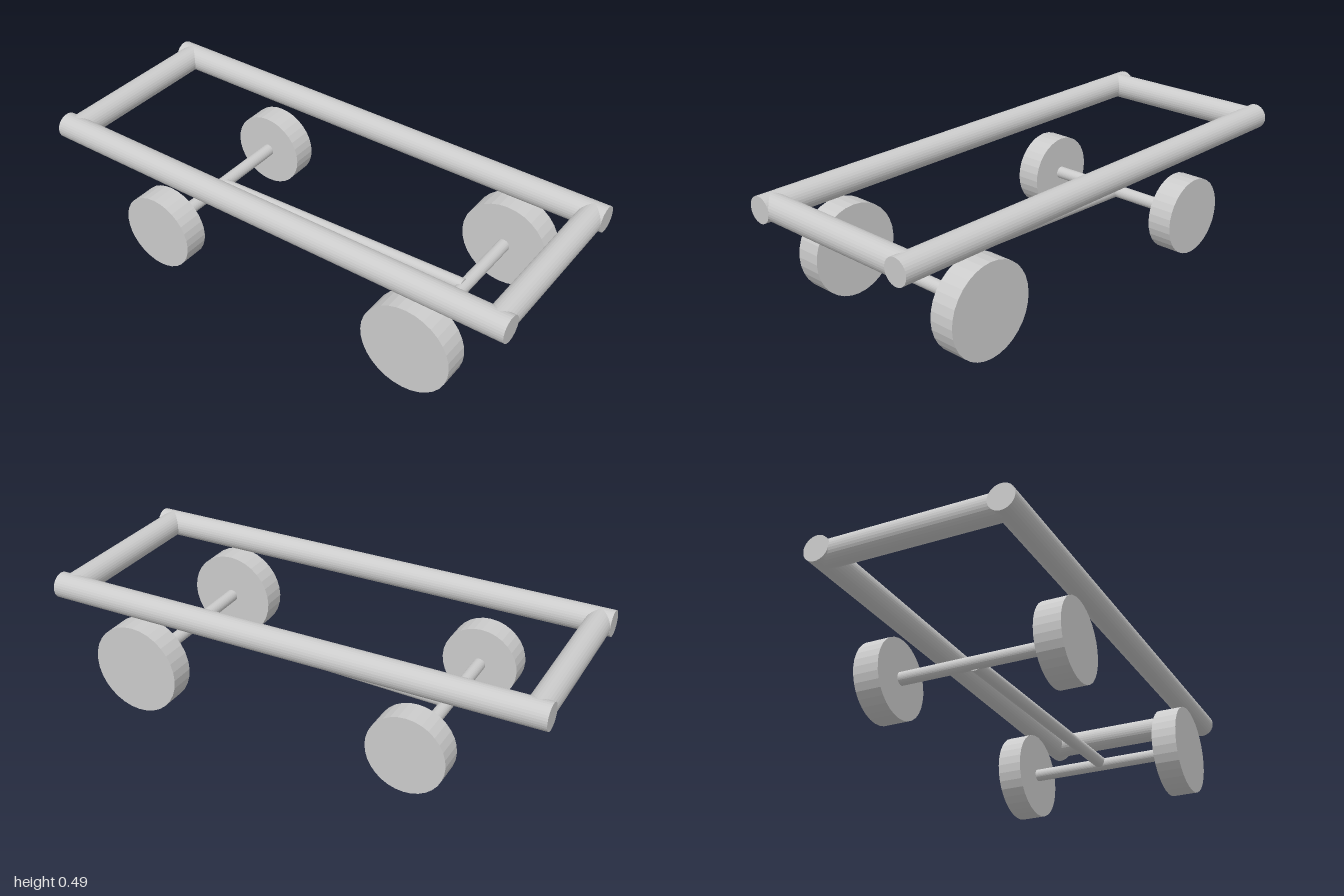
import * as THREE from 'three';

const material = new THREE.MeshStandardMaterial({ color: 0xcccccc, flatShading: true });

// Closed 32-sided rod between two points
function rod(name, from, to, radius) {
  const a = new THREE.Vector3(...from), b = new THREE.Vector3(...to);
  const dir = b.clone().sub(a);
  const mesh = new THREE.Mesh(new THREE.CylinderGeometry(radius, radius, dir.length(), 32), material);
  mesh.name = name;
  mesh.position.copy(a).add(b).multiplyScalar(0.5);
  mesh.quaternion.setFromUnitVectors(new THREE.Vector3(0, 1, 0), dir.normalize());
  return mesh;
}

// Axle with a wheel on each end, standing on the ground
function wheelSet(name, z, radius) {
  const set = new THREE.Group();
  set.name = name + 'WheelSet';
  set.add(rod(name + 'Axle', [-0.35, radius, z], [0.35, radius, z], 0.0255));
  for (const [side, s] of [['Left', 1], ['Right', -1]]) {
    set.add(rod(name + side + 'Wheel', [s * 0.3, radius, z], [s * 0.402, radius, z], radius));
  }
  return set;
}

export function createModel() {
  const model = new THREE.Group();
  model.name = 'cartChassis';

  // Upper rectangular frame
  const frame = new THREE.Group();
  frame.name = 'frame';
  const y = 0.442, r = 0.051;
  for (const [side, s] of [['left', 1], ['right', -1]]) {
    frame.add(rod(side + 'Rail', [s * 0.351, y, -1], [s * 0.351, y, 1], r));
  }
  for (const [end, s] of [['front', 1], ['rear', -1]]) {
    frame.add(rod(end + 'Crossbar', [-0.351, y, s * 0.949], [0.351, y, s * 0.949], r));
  }
  model.add(frame);

  // Running gear: larger wheels in front, sloping shaft between the axles
  model.add(wheelSet('front', 0.637, 0.1815));
  model.add(wheelSet('rear', -0.508, 0.1555));
  model.add(rod('driveShaft', [0, 0.151, -0.508], [0, 0.19, 0.637], 0.0255));

  return model;
}
